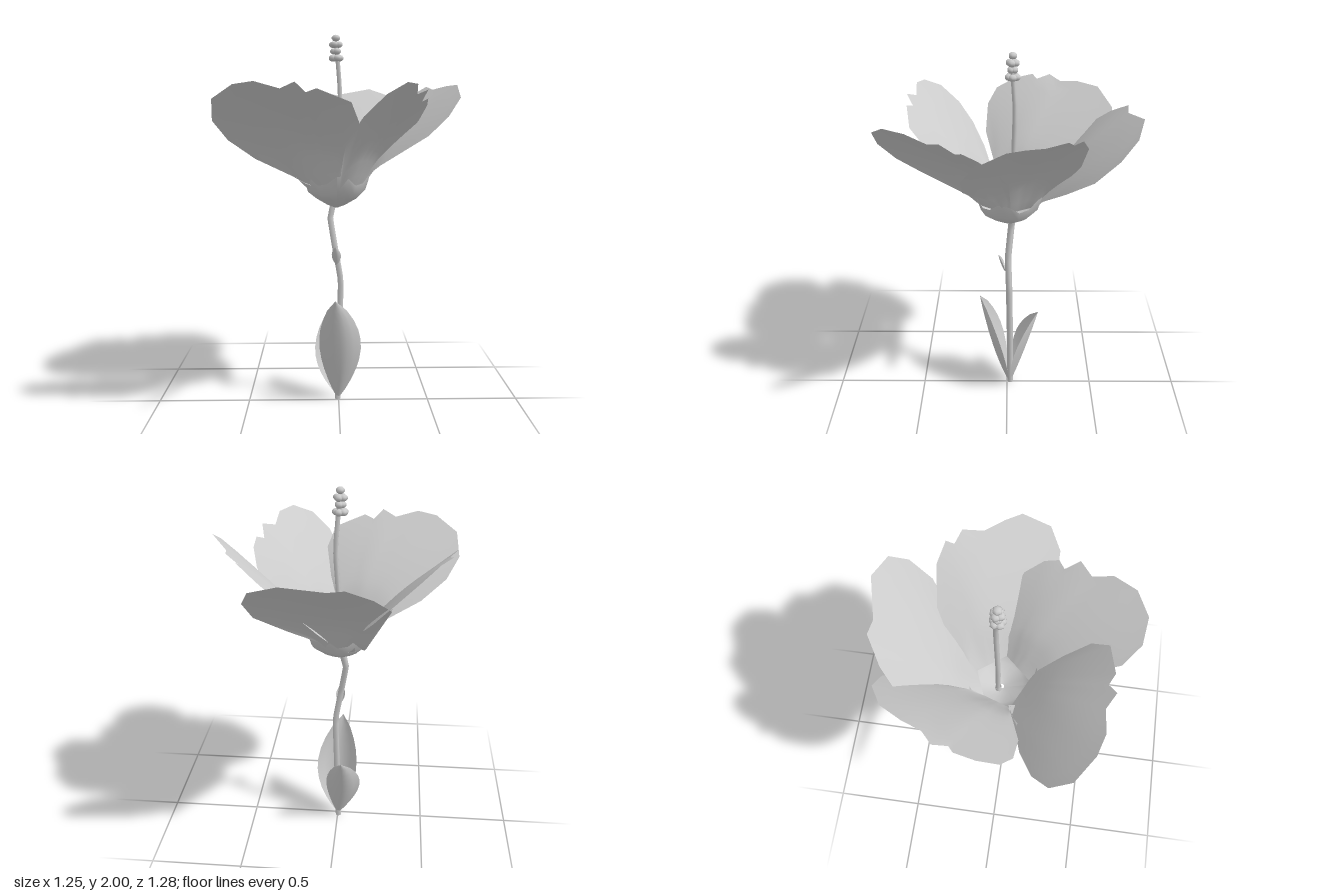
import * as THREE from 'three';

const material = new THREE.MeshStandardMaterial({ color: 0xcccccc, side: THREE.DoubleSide });
const V = (x, y, z) => new THREE.Vector3(x, y, z);

// Smooth sheet from a function of u (across) and v (along), both 0..1
function sheet(name, cols, rows, point) {
  const positions = [], index = [];
  for (let j = 0; j <= rows; j++) {
    for (let i = 0; i <= cols; i++) {
      positions.push(...point(i / cols, j / rows, i).toArray());
      if (i < cols && j < rows) {
        const a = j * (cols + 1) + i, b = a + cols + 1;
        index.push(a, a + 1, b, a + 1, b + 1, b);
      }
    }
  }
  const geometry = new THREE.BufferGeometry();
  geometry.setAttribute('position', new THREE.Float32BufferAttribute(positions, 3));
  geometry.setIndex(index);
  geometry.computeVertexNormals();
  const mesh = new THREE.Mesh(geometry, material);
  mesh.name = name;
  return mesh;
}

// Petal: plan outline (x, z pairs) from one base corner round to the other,
// lifted onto a tilted plane rising towards the given angle, steeper at the throat
function petal(name, degrees, height, outline) {
  const pts = [];
  for (let i = 0; i < outline.length; i += 2) pts.push(new THREE.Vector2(outline[i], outline[i + 1]));
  const first = pts[0], last = pts[pts.length - 1], rim = pts.slice(1, -1);
  const angle = THREE.MathUtils.degToRad(degrees);
  const slope = new THREE.Vector2(Math.cos(angle), Math.sin(angle)).multiplyScalar(1.08);
  return sheet(name, rim.length - 1, 10, (u, v, i) => {
    const base = first.clone().lerp(last, u);
    const p = base.lerp(rim[i], v);
    const plane = Math.min(1.74, height + p.dot(slope));
    const y = THREE.MathUtils.lerp(1.18, plane, THREE.MathUtils.smoothstep(v, -0.15, 0.25));
    return V(p.x, y + 0.04 * Math.sin(Math.PI * u) * Math.sin(Math.PI * Math.pow(v, 0.8)), p.y);
  });
}

// Leaf: spindle-shaped blade along a curved midrib, edges curled by `curl` in z
function leaf(name, base, middle, tip, width, curl) {
  const rib = new THREE.QuadraticBezierCurve3(base, middle, tip);
  return sheet(name, 6, 10, (u, v) => {
    const s = u * 2 - 1, w = Math.pow(Math.sin(Math.PI * Math.pow(v, 1.15)), 0.75) || 0;
    const p = rib.getPoint(v);
    p.x += s * width * w;
    p.z += s * s * curl * w;
    return p;
  });
}

// Slim stalk with gentle kinks at its points
function tube(name, points, radius) {
  const curve = new THREE.CatmullRomCurve3(points, false, 'catmullrom', 0.1);
  const mesh = new THREE.Mesh(new THREE.TubeGeometry(curve, 24, radius, 6), material);
  mesh.name = name;
  return mesh;
}

export function createModel() {
  const model = new THREE.Group();

  // Stem and the style rising out of the bloom
  model.add(tube('stem', [V(-0.005, 0, -0.02), V(0.002, 0.3, -0.018), V(0.012, 0.68, -0.012),
    V(-0.018, 0.86, -0.006), V(-0.045, 1.03, -0.022), V(-0.025, 1.12, -0.03)], 0.018));
  model.add(tube('style', [V(-0.025, 1.1, -0.03), V(-0.015, 1.3, -0.03), V(0.008, 1.66, -0.04),
    V(0.005, 1.75, -0.04), V(-0.012, 1.96, -0.025)], 0.013));

  // Anther beads: rings of small faceted knobs at the tip
  const anthers = new THREE.Group();
  anthers.name = 'anthers';
  const bead = new THREE.SphereGeometry(0.023, 6, 5).scale(1, 0.75, 1);
  [[1.878, 0.019, 5], [1.913, 0.008, 3], [1.947, 0.015, 4], [1.981, 0, 1]].forEach(([y, r, n], k) => {
    for (let i = 0; i < n; i++) {
      const a = i / n * Math.PI * 2 + k;
      const mesh = new THREE.Mesh(bead, material);
      mesh.name = 'anther';
      mesh.position.set(-0.014 + r * Math.cos(a), y, -0.028 + r * Math.sin(a));
      anthers.add(mesh);
    }
  });
  model.add(anthers);

  // Calyx bowl with five raised lobes
  const cup = [[0.012, 1.09], [0.05, 1.105], [0.11, 1.14], [0.155, 1.18], [0.175, 1.245]];
  const bowl = new THREE.LatheGeometry(cup.map(c => new THREE.Vector2(...c)), 20);
  const pos = bowl.attributes.position;
  for (let i = 0; i < pos.count; i++) {
    const x = pos.getX(i), z = pos.getZ(i), t = Math.max(0, (pos.getY(i) - 1.14) / 0.105);
    const lobe = Math.cos(5 * (Math.atan2(z, x) - 0.2)) * t;
    pos.setXYZ(i, x * (1 + 0.05 * lobe) - 0.012, pos.getY(i) + 0.03 * lobe, z * (1 + 0.05 * lobe) - 0.012);
  }
  bowl.computeVertexNormals();
  const calyx = new THREE.Mesh(bowl, material);
  calyx.name = 'calyx';
  model.add(calyx);

  // Loose sepal tips below the petals
  const sepal = (a, b) => sheet('sepal', 4, 5, (u, v) => {
    const p = a.clone().lerp(b, v), s = (u * 2 - 1) * 0.04 * (1 - v);
    const side = V(-(b.z - a.z), 0, b.x - a.x).normalize();
    p.y -= 0.02 * Math.sin(Math.PI * v);
    return p.addScaledVector(side, s);
  });
  model.add(sepal(V(-0.15, 1.22, 0.08), V(-0.29, 1.33, 0.1)));
  model.add(sepal(V(-0.07, 1.19, -0.13), V(-0.1, 1.24, -0.2)));

  // Five overlapping petals set like a propeller
  model.add(
    petal('frontLeftPetal', 30, 1.14, [0.13, -0.02, 0.36, -0.01, 0.42, 0.04, 0.45, 0.13, 0.445, 0.2,
      0.41, 0.23, 0.43, 0.3, 0.37, 0.36, 0.36, 0.46, 0.3, 0.57, 0.2, 0.64, 0.1, 0.635, 0.03, 0.56, 0.015, 0.45, 0, 0.13]),
    petal('frontRightPetal', 100, 1.14, [0, 0.13, 0.06, 0.28, 0.09, 0.4, 0.05, 0.48, -0.11, 0.51,
      -0.16, 0.485, -0.21, 0.52, -0.28, 0.48, -0.4, 0.49, -0.5, 0.46, -0.61, 0.38, -0.625, 0.28, -0.56, 0.2, -0.43, 0.13, -0.16, 0.05]),
    petal('rightPetal', 203, 1.11, [-0.16, 0.04, -0.4, 0.12, -0.52, 0.11, -0.575, 0.06, -0.585, -0.04,
      -0.57, -0.14, -0.54, -0.165, -0.55, -0.235, -0.49, -0.29, -0.46, -0.38, -0.4, -0.49, -0.29, -0.56, -0.2, -0.545, -0.16, -0.4, -0.12, -0.08]),
    petal('backPetal', 268, 1.055, [-0.14, -0.08, -0.21, -0.27, -0.28, -0.46, -0.2, -0.54, -0.14, -0.575,
      -0.08, -0.61, 0, -0.6, 0.2, -0.645, 0.34, -0.6, 0.385, -0.52, 0.36, -0.41, 0.22, -0.29, 0.03, -0.15]),
    petal('leftPetal', 334, 1.135, [0.01, -0.155, 0.08, -0.28, 0.2, -0.36, 0.35, -0.375, 0.44, -0.34,
      0.44, -0.3, 0.5, -0.27, 0.52, -0.17, 0.58, -0.08, 0.625, 0, 0.62, 0.14, 0.55, 0.2, 0.45, 0.2, 0.12, 0.0]));

  // Two leaves at the foot of the stem and a small bract higher up
  model.add(leaf('frontLeaf', V(-0.005, 0, -0.01), V(0.03, 0.3, 0.1), V(-0.02, 0.61, 0.155), 0.115, -0.065));
  model.add(leaf('backLeaf', V(0, 0.01, -0.025), V(-0.05, 0.24, -0.12), V(-0.03, 0.49, -0.18), 0.098, 0.07));
  model.add(leaf('bract', V(-0.012, 0.775, 0.01), V(-0.01, 0.82, 0.035), V(-0.018, 0.88, 0.048), 0.025, -0.015));

  return model;
}
